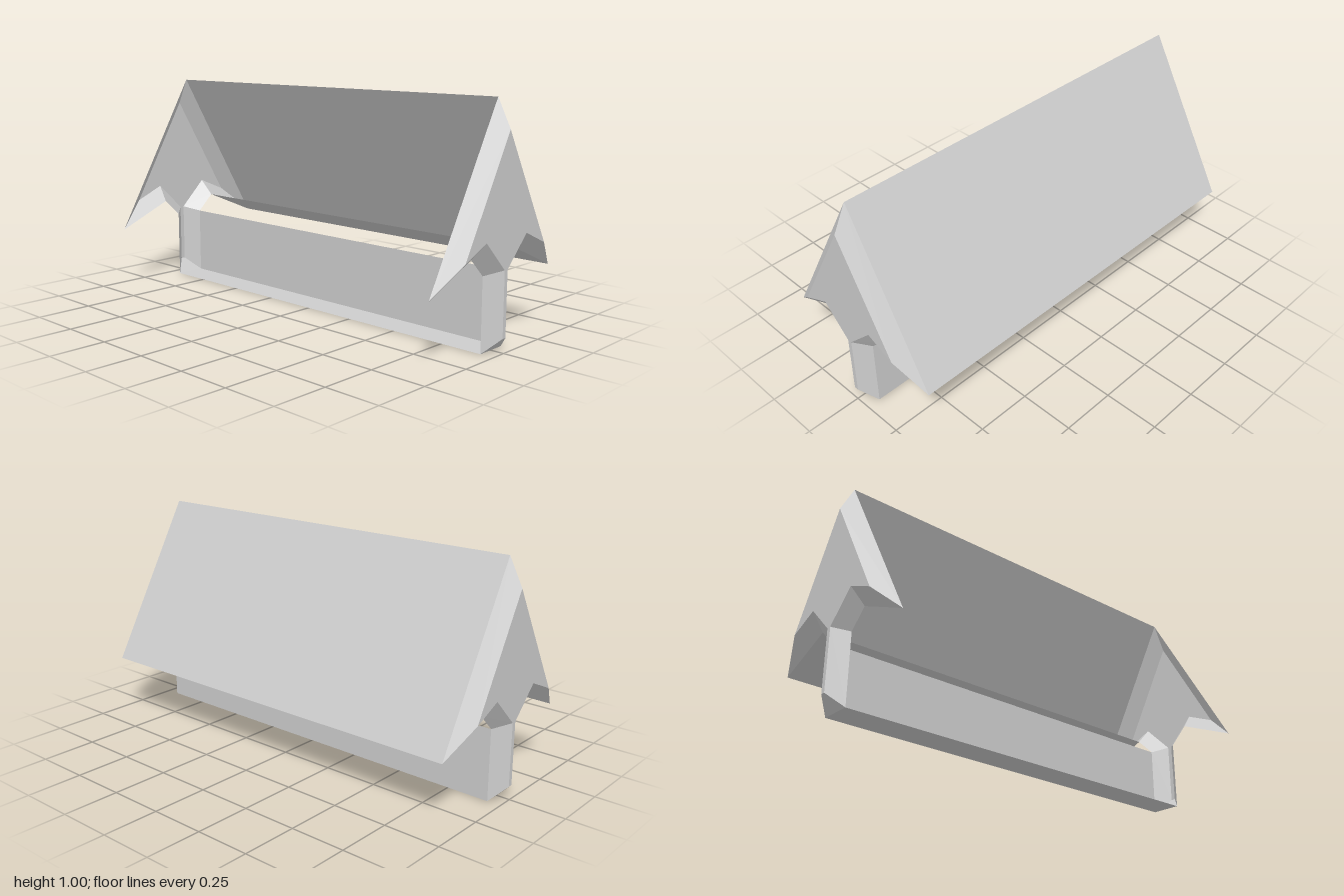
import * as THREE from 'three';

// Right half of the arrow profile, from the apex down to the stem foot
const outerHalf = [[0, 1], [0.408, 0.28], [0.15, 0.391], [0.07, 0.313], [0.07, 0]];
const innerHalf = [[0, 0.88], [0.27, 0.404], [0.137, 0.462], [0.01, 0.336], [0.01, 0.061]];
const SHOULDER = 0.94; // z where the bevels begin
const END = 1;         // z of the end faces

// Clockwise closed outline: right half, then its mirror back up to the apex
function closeOutline(half) {
  const left = half.slice(1).reverse().map(([x, y]) => [-x, y]);
  return [...half, ...left];
}

// Flat quad from four corners, counter-clockwise seen from outside
function quad(a, b, c, d) {
  const g = new THREE.BufferGeometry();
  g.setAttribute('position', new THREE.Float32BufferAttribute([a, b, c, a, c, d].flat(), 3));
  g.computeVertexNormals();
  return g;
}

export function createModel() {
  const model = new THREE.Group();
  model.name = 'arrowShell';
  const grey = new THREE.MeshStandardMaterial({ color: 0xcccccc, flatShading: true, side: THREE.DoubleSide });
  grey.name = 'lightGrey';

  const add = (parent, geometry, name) => {
    const mesh = new THREE.Mesh(geometry, grey);
    mesh.name = name;
    parent.add(mesh);
  };

  const outer = closeOutline(outerHalf);
  const inner = closeOutline(innerHalf);

  // Two ends: a flat arrow face surrounded by a sloping bevel
  for (const side of [1, -1]) {
    const end = new THREE.Group();
    end.name = side > 0 ? 'frontEnd' : 'backEnd';
    const face = new THREE.ShapeGeometry(new THREE.Shape(inner.map(([x, y]) => new THREE.Vector2(x, y))));
    face.translate(0, 0, END);
    add(end, face, 'endFace');
    outer.forEach((p, i) => {
      const j = (i + 1) % outer.length;
      add(end, quad([...p, SHOULDER], [...inner[i], END], [...inner[j], END], [...outer[j], SHOULDER]), 'endBevel');
    });
    end.scale.z = side;
    model.add(end);
  }

  // Long panels: only the right roof, its eave, the right stem wall and the floor; the rest is open
  const panels = { rightRoof: 0, rightEave: 1, rightStemWall: 3, floor: 4 };
  for (const [name, i] of Object.entries(panels)) {
    const p = outer[i], q = outer[i + 1];
    add(model, quad([...p, -SHOULDER], [...p, SHOULDER], [...q, SHOULDER], [...q, -SHOULDER]), name);
  }
  return model;
}
